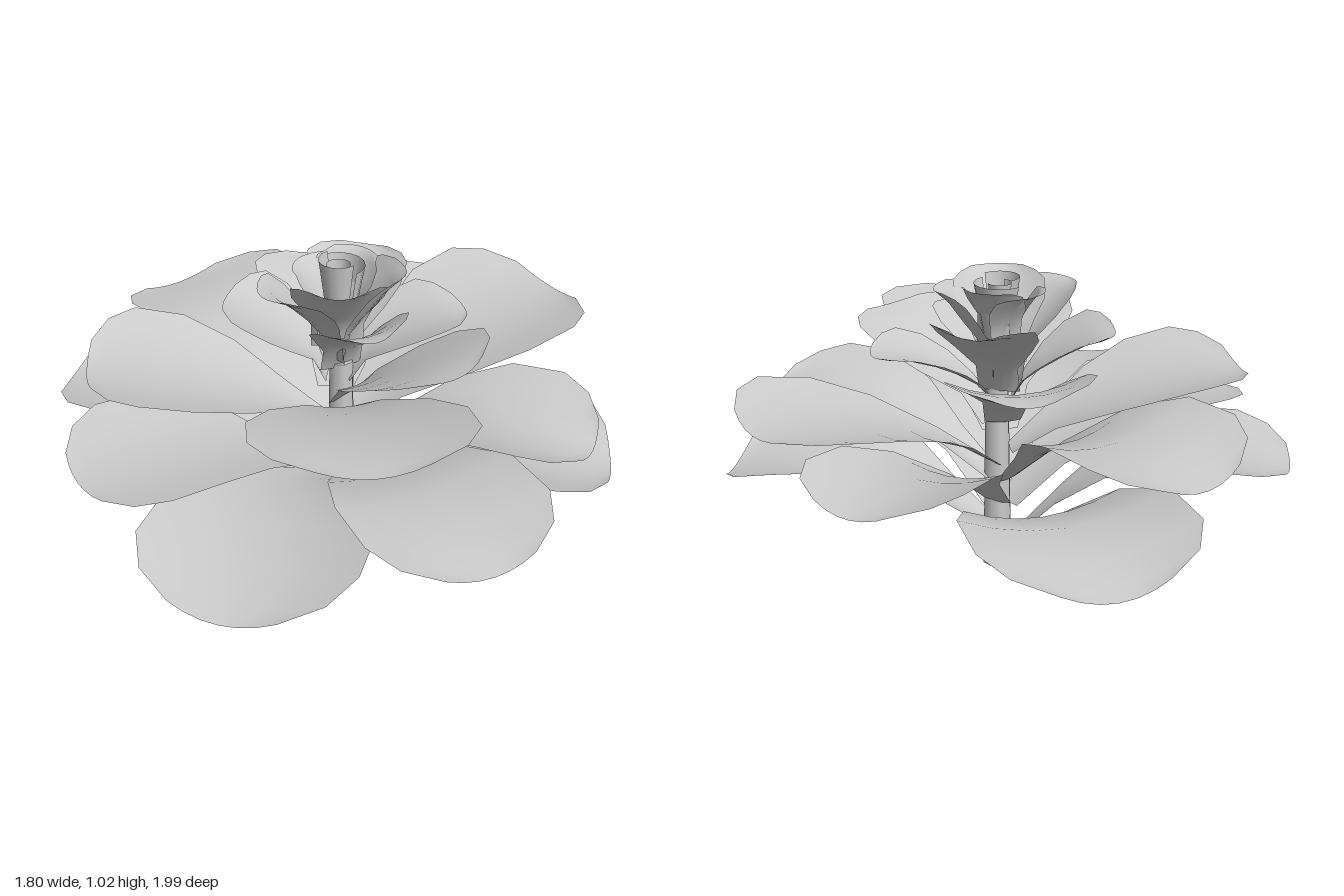
import * as THREE from 'three';

const material = new THREE.MeshStandardMaterial({ color: 0xcccccc, side: THREE.DoubleSide });

// Half-width of a leaf along its length, as [position, share of full half-width]
const OUTLINE = [[0, 0.1], [0.2, 0.34], [0.4, 0.74], [0.6, 0.98], [0.8, 1], [0.93, 0.82], [1, 0.48]];

// Each leaf: [azimuth from +x toward +z, reach, half-width, base y, shoulder y, tip y, edge lift, inward wrap]
const OUTER = [
  [-90, 1.0, 0.35, 0.07, 0.39, 0.355, 0.08, 0],
  [25, 0.92, 0.35, 0.14, 0.36, 0.32, 0.09, 0],
  [-149, 0.95, 0.28, 0.09, 0.44, 0.44, 0.06, 0],
  [125, 1.08, 0.34, 0.22, 0.44, 0.42, 0.06, 0],
  [81, 1.0, 0.31, 0.21, 0.49, 0.48, 0.05, 0],
  [-43, 0.91, 0.27, 0.24, 0.5, 0.54, 0.06, 0],
  [167, 0.92, 0.3, 0.22, 0.49, 0.49, 0.04, 0],
  [41, 0.87, 0.26, 0.32, 0.53, 0.53, 0.08, 0],
  [-113, 0.9, 0.32, 0.32, 0.6, 0.57, 0.07, 0],
];
const MIDDLE = [
  [-15, 0.89, 0.34, 0.38, 0.6, 0.67, 0.06, 0],
  [-170, 0.81, 0.31, 0.42, 0.6, 0.67, 0.06, 0],
  [100, 0.82, 0.34, 0.48, 0.68, 0.76, 0.04, 0.02],
  [-80, 0.54, 0.23, 0.53, 0.71, 0.77, 0.05, 0.02],
  [62, 0.53, 0.26, 0.52, 0.71, 0.82, 0.03, 0.03],
  [4, 0.43, 0.18, 0.6, 0.74, 0.79, 0.03, 0.03],
  [-155, 0.37, 0.2, 0.6, 0.76, 0.84, 0.03, 0.03],
];
const INNER = [
  [-56, 0.34, 0.17, 0.64, 0.81, 0.91, 0.03, 0.04],
  [83, 0.29, 0.16, 0.64, 0.8, 0.87, 0.03, 0.04],
  [163, 0.28, 0.15, 0.68, 0.86, 0.97, 0.01, 0.06],
  [20, 0.22, 0.15, 0.7, 0.85, 0.98, 0.01, 0.07],
  [105, 0.23, 0.15, 0.72, 0.88, 1.0, 0.01, 0.07],
  [-128, 0.15, 0.12, 0.76, 0.9, 0.98, 0, 0.06],
  [-42, 0.15, 0.11, 0.78, 0.91, 1.0, 0, 0.06],
];

// Spoon-shaped leaf lofted from cross-sections along a rising, flattening midrib
function leafGeometry(reach, half, base, shoulder, tip, lift, wrap) {
  const midrib = new THREE.CatmullRomCurve3([
    [0.03, base],
    [reach * 0.25, base + (shoulder - base) * 0.58],
    [reach * 0.5, shoulder],
    [reach * 0.75, (shoulder + tip) / 2 + 0.02],
    [reach, tip],
  ].map(([r, y]) => new THREE.Vector3(r, y, 0)));
  const baseHalf = 0.05 + wrap * 0.5; // wrapped leaves clasp the stem
  const across = 6, points = [], index = [];
  OUTLINE.forEach(([u, width], i) => {
    const p = midrib.getPoint(u);
    for (let j = 0; j <= across; j++) {
      const t = (j / across) * 2 - 1;
      const bow = t * t * width;
      // sections near the tip bend back to round off the end
      const back = u > 0.9 ? 0.02 * reach * t * t : 0;
      points.push(p.x - wrap * bow - back, p.y + lift * bow, t * Math.max(half * width, baseHalf));
      if (i < OUTLINE.length - 1 && j < across) {
        const a = i * (across + 1) + j, b = a + across + 1;
        index.push(a, a + 1, b, b, a + 1, b + 1);
      }
    }
  });
  const geometry = new THREE.BufferGeometry();
  geometry.setAttribute('position', new THREE.Float32BufferAttribute(points, 3));
  geometry.setIndex(index);
  geometry.computeVertexNormals();
  return geometry;
}

function leafRing(name, rows) {
  const ring = new THREE.Group();
  ring.name = name;
  rows.forEach(([azimuth, ...shape], i) => {
    const leaf = new THREE.Mesh(leafGeometry(...shape), material);
    leaf.name = `${name}${i + 1}`;
    leaf.rotation.y = -THREE.MathUtils.degToRad(azimuth);
    ring.add(leaf);
  });
  return ring;
}

export function createModel() {
  const model = new THREE.Group();
  model.name = 'rosettePlant';

  // Stem
  const stem = new THREE.Mesh(new THREE.CylinderGeometry(0.04, 0.05, 0.66, 8), material);
  stem.name = 'stem';
  stem.position.set(0.01, 0.33, 0.015);
  model.add(stem);

  // Leaves, from the broad lower ring to the upright heart
  model.add(leafRing('outerLeaf', OUTER), leafRing('middleLeaf', MIDDLE), leafRing('innerLeaf', INNER));

  // Curled leaves of the central bud: [top radius, height, start angle, sweep]
  const bud = new THREE.Group();
  bud.name = 'bud';
  [[0.085, 0.18, 0.4, 3.2], [0.065, 0.2, 3.4, 3.4], [0.04, 0.18, 1.6, 4]].forEach(([r, h, start, sweep], i) => {
    const curl = new THREE.Mesh(
      new THREE.CylinderGeometry(r, r * 0.6, h, 8, 1, true, start, sweep), material);
    curl.name = `budLeaf${i + 1}`;
    curl.position.set(0.005, 0.82 + h / 2, 0);
    bud.add(curl);
  });
  model.add(bud);
  return model;
}
